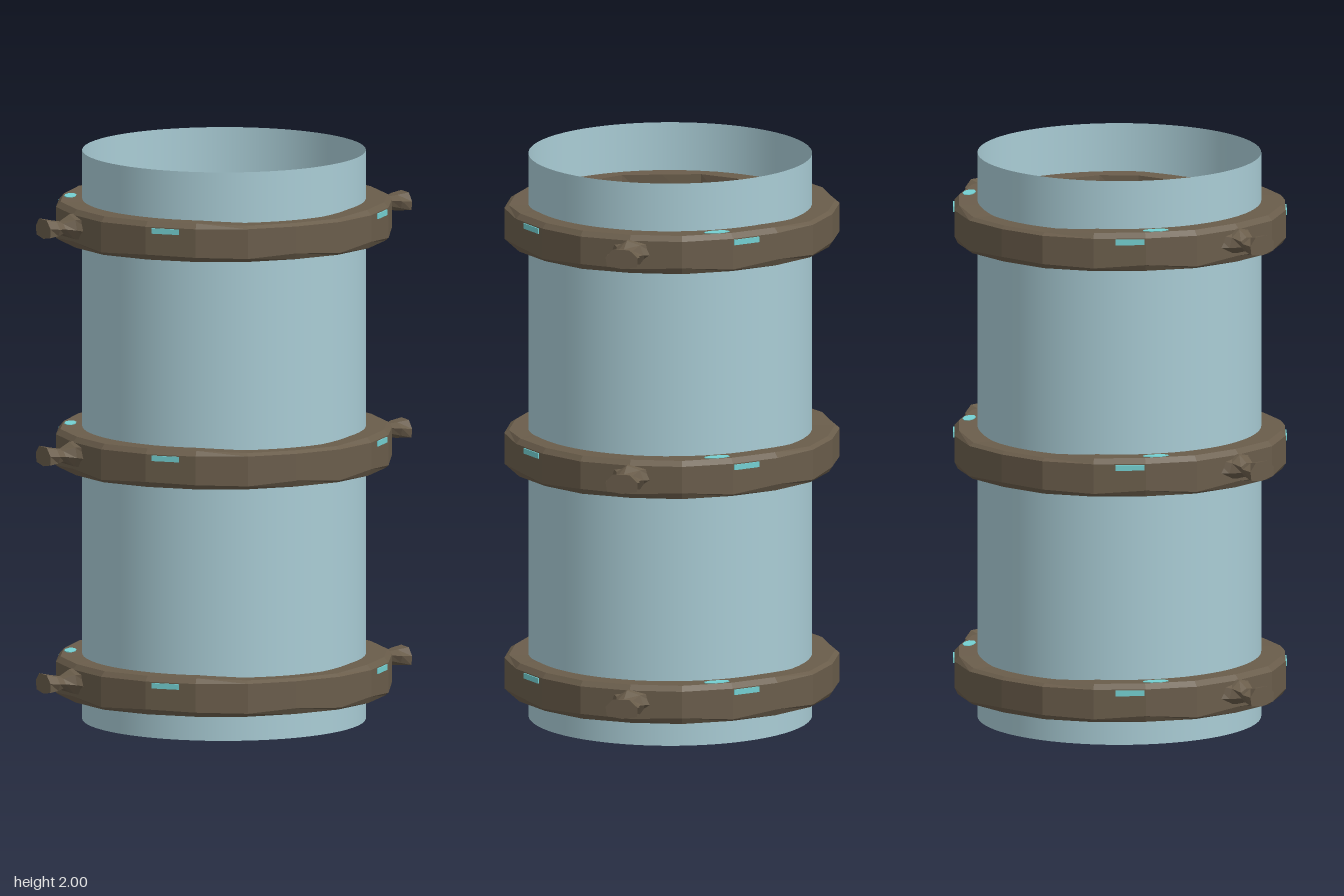
import * as THREE from 'three';

const pipeBlue = new THREE.MeshStandardMaterial({ color: 0xa9ccd5, side: THREE.DoubleSide });
pipeBlue.name = 'pale blue pipe';
const bandBrown = new THREE.MeshStandardMaterial({ color: 0x6a5d4b });
bandBrown.name = 'brown band';
const glowTeal = new THREE.MeshStandardMaterial({ color: 0x74d0d2 });
glowTeal.name = 'teal inlay';

// Outer and inner radius of the rough band, every 18 degrees from +x towards +z
const OUTER = [.585, .59, .58, .578, .578, .57, .578, .582, .585, .595, .585, .59, .58, .585, .59, .58, .585, .58, .58, .59];
const INNER = [.445, .42, .425, .43, .43, .41, .42, .435, .44, .43, .445, .42, .41, .41, .435, .42, .44, .44, .425, .41];
const N = OUTER.length;
const angle = k => (k / N) * Math.PI * 2;

// Faceted skin over a row of cross-sections
function loft(loops, closed) {
  const pos = [];
  const tri = (...pts) => pts.forEach(p => pos.push(...p));
  const rows = closed ? loops.length : loops.length - 1;
  for (let j = 0; j < rows; j++) {
    const A = loops[j], B = loops[(j + 1) % loops.length];
    A.forEach((a, i) => {
      const n = (i + 1) % A.length;
      tri(a, A[n], B[n]);
      tri(a, B[n], B[i]);
    });
  }
  if (!closed) {
    const end = loops[loops.length - 1];
    for (let i = 1; i < end.length - 1; i++) tri(end[0], end[i], end[i + 1]);
  }
  const g = new THREE.BufferGeometry();
  g.setAttribute('position', new THREE.Float32BufferAttribute(pos, 3));
  g.computeVertexNormals();
  return g;
}

function bandGeometry() {
  const loops = OUTER.map((ro, k) => {
    const ri = INNER[k], c = Math.cos(angle(k)), s = Math.sin(angle(k));
    const top = Math.abs(s) > 0.9 ? 0.223 : 0.231; // slightly lower at front and back
    const low = 0.112 + 0.008 * Math.sin(k * 2.7);
    const section = [[ri, 0.1], [ro - 0.012, 0.096], [ro, low], [ro, 0.213], [ro - 0.016, top], [ri + 0.008 * Math.sin(k * 4.1), top - 0.002]];
    return section.map(([r, y]) => [r * c, y, r * s]);
  });
  return loft(loops, true);
}

// Chipped knob that necks in and flares at its tip
function lugGeometry() {
  const rows = [[.55, .05, .1], [.595, .042, .055], [.632, .024, .038], [.662, .03, .058], [.7, .036, .064]];
  const loops = rows.map(([x, hy, hz], j) => Array.from({ length: 7 }, (_, i) => {
    const a = (i / 7) * Math.PI * 2 + j * 0.12;
    const chip = 1 + 0.08 * Math.sin(i * 3.3 + j * 1.9);
    return [x, 0.17 + hy * chip * Math.cos(a), hz * chip * Math.sin(a)];
  }));
  return loft(loops, false);
}

// Point on the outer facet after station k, and the heading of that facet
function onFacet(k, t) {
  const p = i => new THREE.Vector3(OUTER[i % N] * Math.cos(angle(i)), 0, OUTER[i % N] * Math.sin(angle(i)));
  const a = p(k), b = p(k + 1), d = b.clone().sub(a);
  return { point: a.lerp(b, t), turn: Math.atan2(-d.z, d.x) };
}

function addMesh(parent, name, geometry, material) {
  const m = new THREE.Mesh(geometry, material);
  m.name = name;
  parent.add(m);
  return m;
}

export function createModel() {
  const model = new THREE.Group();
  model.name = 'bandedPipe';

  // Open pipe
  const pipe = addMesh(model, 'pipe', new THREE.CylinderGeometry(0.493, 0.493, 2, 64, 1, true), pipeBlue);
  pipe.position.y = 1;

  const bandGeo = bandGeometry();
  const lugGeo = lugGeometry();
  const sideGeo = new THREE.BoxGeometry(0.1, 0.019, 0.009);
  const topGeo = new THREE.CylinderGeometry(0.5, 0.5, 0.008, 8);
  topGeo.rotateY(Math.PI / 8);
  topGeo.scale(0.095, 1, 0.042);

  // Three identical bands
  for (const y of [0, 0.8, 1.6]) {
    const band = new THREE.Group();
    band.name = 'band';
    band.position.y = y;
    model.add(band);
    addMesh(band, 'ring', bandGeo, bandBrown);
    for (const turn of [0, Math.PI]) addMesh(band, 'lug', lugGeo, bandBrown).rotation.y = turn;

    // Inlays on the four diagonal outer facets
    for (const [k, t] of [[2, 0.4], [7, 0.6], [12, 0.3], [17, 0.7]]) {
      const { point, turn } = onFacet(k, t);
      const inlay = addMesh(band, 'sideInlay', sideGeo, glowTeal);
      inlay.position.set(point.x, 0.2, point.z);
      inlay.rotation.y = turn;
    }

    // Inlays on the upper face towards the back
    for (const side of [-1, 1]) {
      const inlay = addMesh(band, 'topInlay', topGeo, glowTeal);
      inlay.position.set(side * 0.457, 0.229, -0.28);
      inlay.rotation.y = side * -Math.PI * 0.32;
    }
  }
  return model;
}
